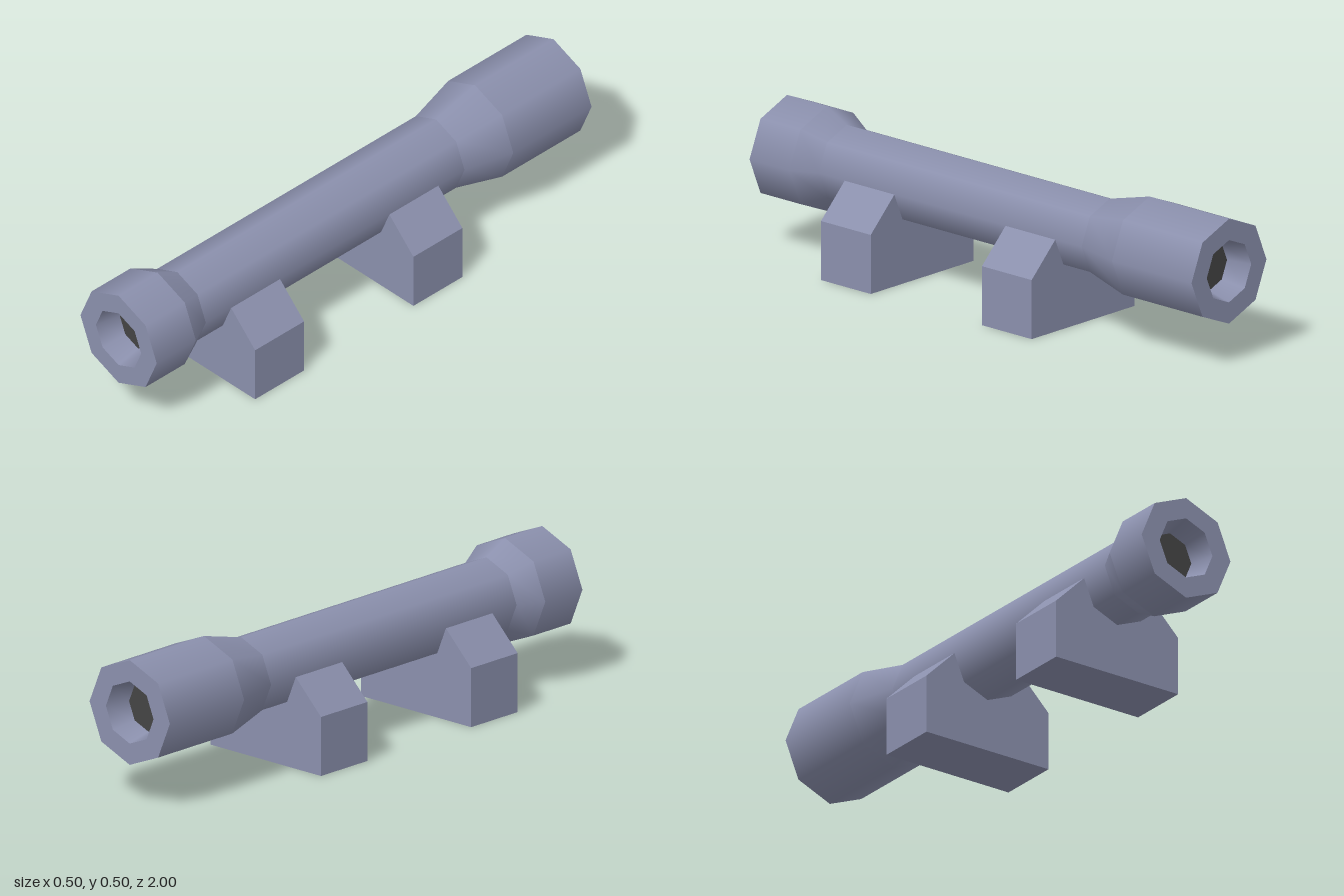
import * as THREE from 'three';

export function createModel() {
  const model = new THREE.Group();
  const metal = new THREE.MeshStandardMaterial({ color: 0x8b90ad });
  metal.name = 'blueGreyMetal';
  const glass = new THREE.MeshStandardMaterial({ color: 0x444444 });
  glass.name = 'darkGlass';

  const AXIS = 0.32, SIDES = 8, BELL = 0.182, TUBE = 0.136, BORE = 0.108, LENS = 0.087, DEPTH = 0.09;

  function add(name, geometry, material) {
    const mesh = new THREE.Mesh(geometry, material);
    mesh.name = name;
    model.add(mesh);
    return mesh;
  }

  // Open eight-sided section along z, smooth around and sharp at its ends
  function section(name, zFront, rFront, zBack, rBack) {
    const g = new THREE.CylinderGeometry(rFront, rBack, zFront - zBack, SIDES, 1, true);
    g.rotateX(Math.PI / 2);
    g.translate(0, AXIS, (zFront + zBack) / 2);
    add(name, g, metal);
  }
  section('frontBell', 1, BELL, 0.82, BELL);
  section('frontTaper', 0.82, BELL, 0.73, TUBE);
  section('mainTube', 0.73, TUBE, -0.46, TUBE);
  section('rearTaper', -0.46, TUBE, -0.64, BELL);
  section('rearBell', -0.64, BELL, -1, BELL);

  // Rim, tapered recess and lens at both ends
  for (const [end, turn] of [['front', 0], ['rear', Math.PI]]) {
    const place = (g) => g.rotateY(turn).translate(0, AXIS, 0);

    const rim = new THREE.RingGeometry(BORE, BELL, SIDES, 1, Math.PI / 2);
    add(end + 'Rim', place(rim.translate(0, 0, 1)), metal);

    const recess = new THREE.CylinderGeometry(BORE, LENS, DEPTH, SIDES, 1, true);
    recess.rotateX(Math.PI / 2);
    recess.scale(-1, 1, 1); // mirrored so that the faces point inwards
    const normals = recess.attributes.normal;
    for (let i = 0; i < normals.count; i++) {
      normals.setXYZ(i, -normals.getX(i), -normals.getY(i), -normals.getZ(i));
    }
    add(end + 'Recess', place(recess.translate(0, 0, 1 - DEPTH / 2)), metal);

    const lens = new THREE.CircleGeometry(LENS, SIDES, Math.PI / 2);
    add(end + 'Lens', place(lens.translate(0, 0, 1 - DEPTH)), glass);
  }

  // Chamfered mounting blocks under the tube
  const outline = new THREE.Shape([
    [-0.25, 0], [0.25, 0], [0.25, 0.205], [0.135, 0.319], [-0.135, 0.319], [-0.25, 0.205],
  ].map(([x, y]) => new THREE.Vector2(x, y)));
  const block = new THREE.ExtrudeGeometry(outline, { depth: 0.225, bevelEnabled: false });
  add('frontMount', block, metal).position.z = 0.388;
  add('rearMount', block, metal).position.z = -0.34;

  return model;
}
